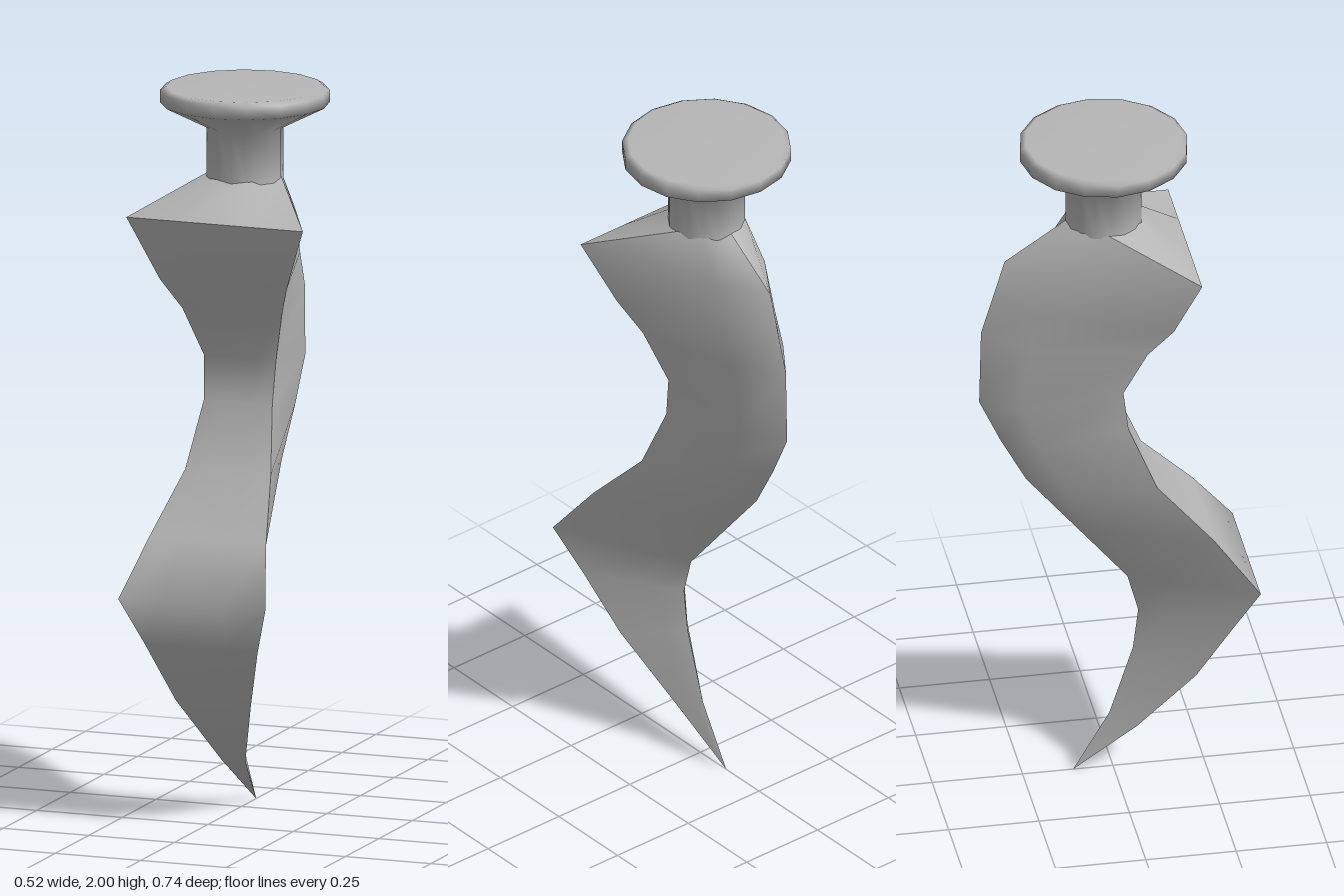
import * as THREE from 'three';

// Cross-sections from top to tip:
// [front y, front z, front half width, back y, back z, shoulder half width]
const SECTIONS = [
  [1.66, 0.20, 0.258, 1.64, -0.30, 0.09],
  [1.48, 0.135, 0.185, 1.52, -0.335, 0.09],
  [1.39, 0.07, 0.145, 1.42, -0.365, 0.088],
  [1.25, 0.01, 0.105, 1.20, -0.37, 0.082],
  [1.13, 0.025, 0.10, 1.07, -0.31, 0.072],
  [0.95, 0.10, 0.125, 0.94, -0.24, 0.06],
  [0.79, 0.25, 0.17, 0.77, -0.10, 0.055],
  [0.635, 0.37, 0.215, 0.60, 0.04, 0.062],
  [0.50, 0.30, 0.165, 0.49, 0.07, 0.05],
  [0.33, 0.21, 0.11, 0.37, 0.055, 0.034],
  [0.14, 0.06, 0.035, 0.17, -0.01, 0.012],
  [0.0, -0.11, 0, 0.0, -0.11, 0],
];
const TOP = [1.755, -0.03, 0.105, 1.755, -0.13, 0.075];
const SHOULDER = 0.27; // shoulder position between ridge and front corner

// Smooth surface over a grid of points, rows running downwards
function strip(rows) {
  const n = rows[0].length;
  const index = [];
  for (let i = 0; i < rows.length - 1; i++) {
    for (let j = 0; j < n - 1; j++) {
      const a = i * n + j, b = a + 1, d = a + n, c = d + 1;
      index.push(a, d, b, b, d, c);
    }
  }
  const geometry = new THREE.BufferGeometry();
  geometry.setAttribute('position', new THREE.Float32BufferAttribute(rows.flat(2), 3));
  geometry.setIndex(index);
  geometry.computeVertexNormals();
  return geometry;
}

// Corner, shoulder and ridge points on one side of a section
function sidePoints([yf, zf, w, yb, zb, s], sign) {
  const points = [
    [sign * w, yf, zf],
    [sign * s, THREE.MathUtils.lerp(yb, yf, SHOULDER), THREE.MathUtils.lerp(zb, zf, SHOULDER)],
    [0, yb, zb],
  ];
  return sign > 0 ? points : points.reverse();
}

// Front points of a section, left to right
const frontPoints = ([y, z, w]) => [-1, -0.4, 0.4, 1].map((k) => [k * w, y, z]);

export function createModel() {
  const group = new THREE.Group();
  const grey = new THREE.MeshStandardMaterial({ color: 0xb6b6b6, side: THREE.DoubleSide });
  const add = (name, geometry) => {
    const mesh = new THREE.Mesh(geometry, grey);
    mesh.name = name;
    group.add(mesh);
    return mesh;
  };

  // Curved body: flat front and two sides meeting in a back ridge
  add('bodyFront', strip(SECTIONS.map(frontPoints)));
  for (const [name, sign] of [['bodyLeftSide', 1], ['bodyRightSide', -1]]) {
    add(name, strip([TOP, ...SECTIONS].map((section) => sidePoints(section, sign))));
  }

  // Sloping top between the neck and the front edge
  const neckEdge = [[-0.105, 1.755, -0.03], [-0.05, 1.755, 0.07], [0.05, 1.755, 0.07], [0.105, 1.755, -0.03]];
  add('bodyTop', strip([neckEdge, frontPoints(SECTIONS[0])]));

  // Round neck and button-shaped head
  const profile = [[0.105, 1.745], [0.105, 1.89], [0.231, 1.955], [0.231, 1.99], [0.215, 2.0], [0, 2.0]];
  const head = add('neckAndHead', new THREE.LatheGeometry(profile.map(([r, y]) => new THREE.Vector2(r, y)), 16));
  head.position.z = -0.026;

  return group;
}
